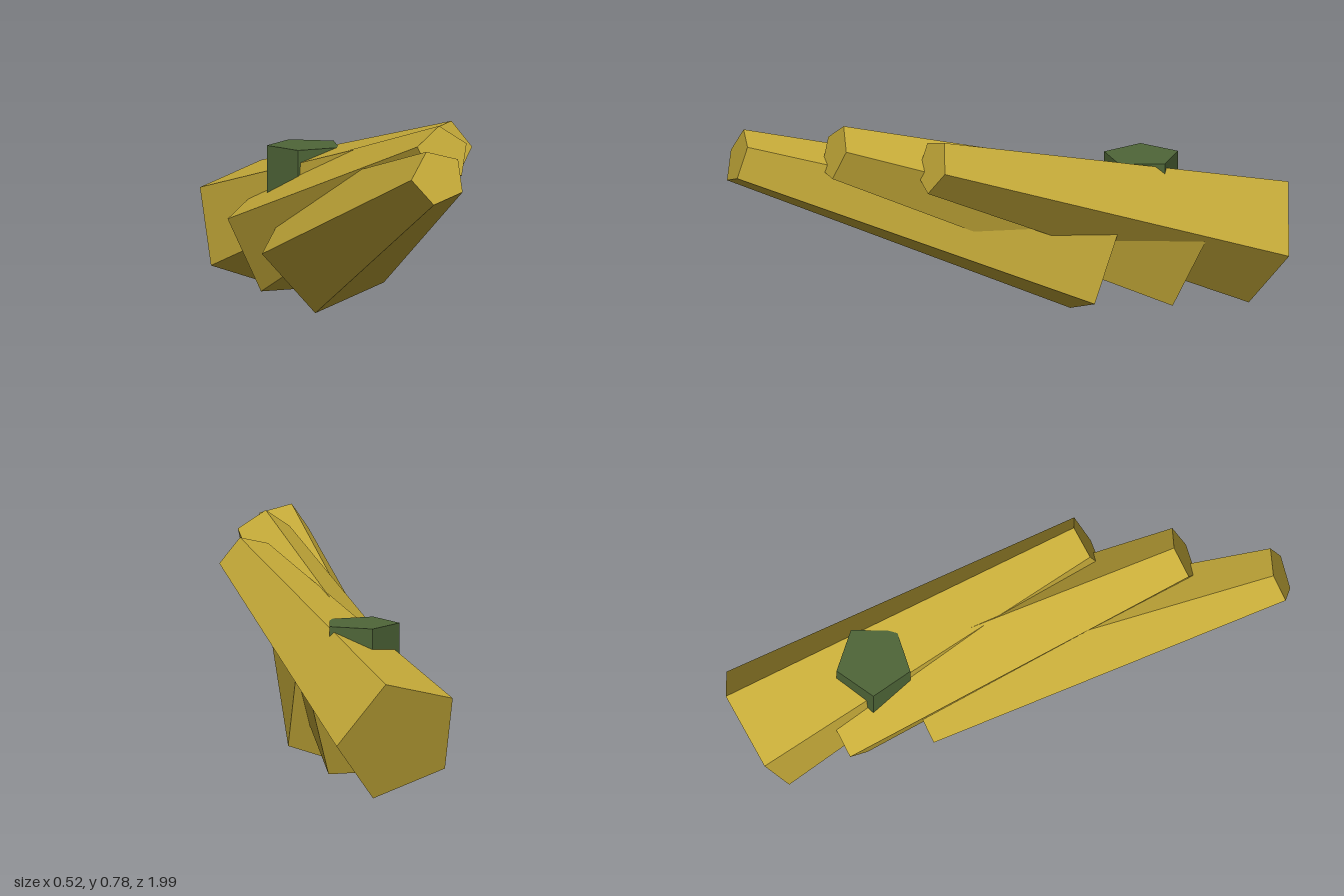
import * as THREE from 'three';

const gold = new THREE.MeshStandardMaterial({ color: 0xc6ab39, flatShading: true });
gold.name = 'gold';
const green = new THREE.MeshStandardMaterial({ color: 0x4f6638, flatShading: true });
green.name = 'dark green';

// Tapered five-sided bar from its wide back centre to its narrow front centre.
// corner: where the first pentagon corner points ('up', or -1 / 1 for the side in x)
function bar(name, back, front, corner) {
  const a = new THREE.Vector3(...back);
  const b = new THREE.Vector3(...front);
  const axis = b.clone().sub(a);
  const length = axis.length();
  axis.normalize();
  const up = new THREE.Vector3(0, axis.z, -axis.y).normalize();
  const side = up.clone().cross(axis);
  const first = corner === 'up' ? up : side.multiplyScalar(corner);
  const geometry = new THREE.CylinderGeometry(0.1, 0.238, length, 5);
  const basis = new THREE.Matrix4().makeBasis(axis.clone().cross(first), axis, first);
  const mesh = new THREE.Mesh(geometry, gold);
  mesh.name = name;
  mesh.quaternion.setFromRotationMatrix(basis);
  mesh.position.copy(a).add(b).multiplyScalar(0.5);
  return mesh;
}

export function createModel() {
  const model = new THREE.Group();
  model.name = 'fruitBunch';

  // Three staggered fruits, the outer two leaning in opposite directions
  model.add(bar('rightFruit', [0, 0.218, -0.304], [-0.161, 0.654, 0.966], -1));
  model.add(bar('middleFruit', [0, 0.221, -0.61], [0, 0.686, 0.662], 'up'));
  model.add(bar('leftFruit', [0, 0.218, -0.915], [0.161, 0.654, 0.355], 1));

  // Upright stem set into the bunch
  const stem = new THREE.Mesh(new THREE.CylinderGeometry(0.136, 0.136, 0.2, 5, 1, false, Math.PI), green);
  stem.name = 'stem';
  stem.position.set(0, 0.46, -0.477);
  model.add(stem);

  return model;
}
